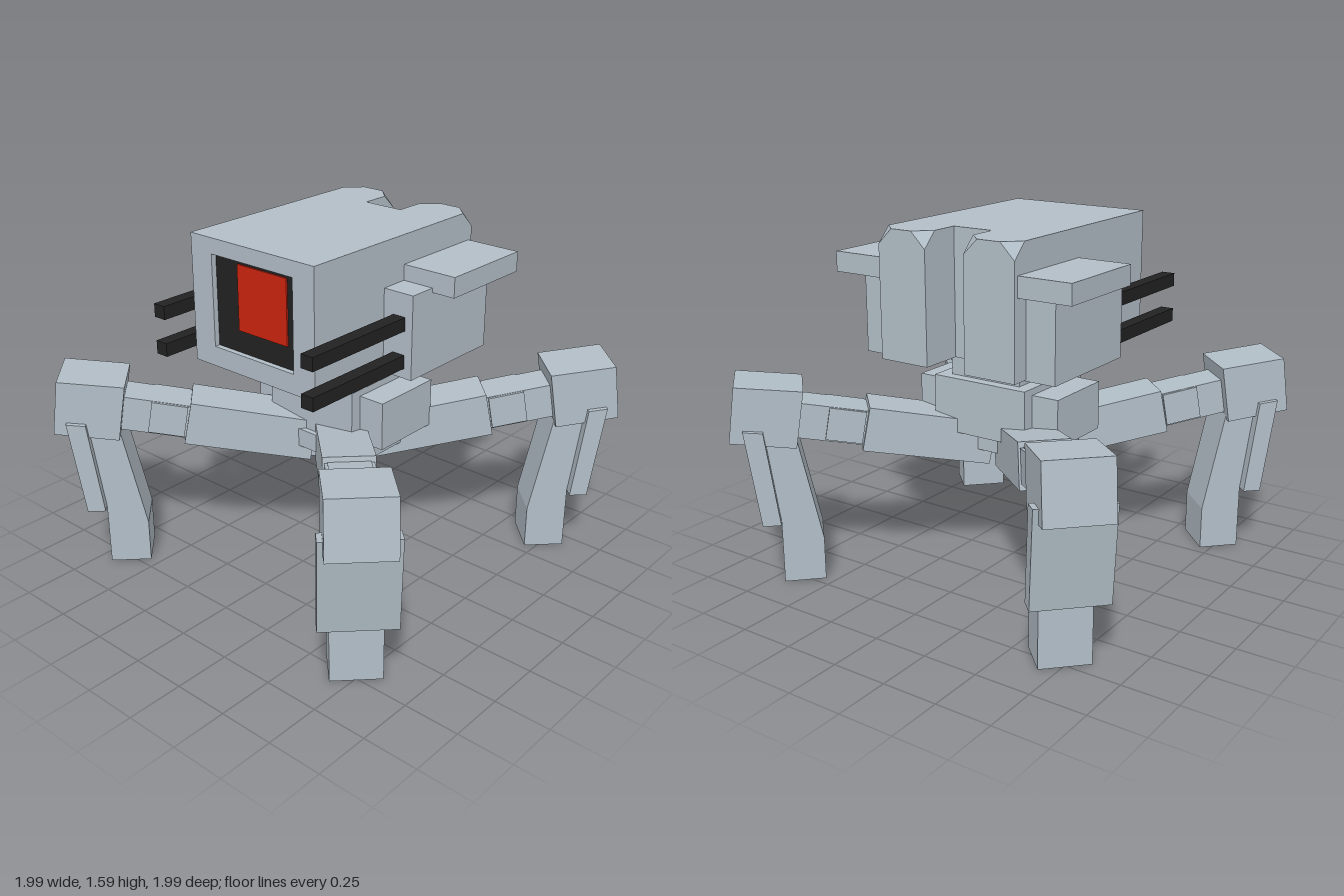
import * as THREE from 'three';
import { ConvexGeometry } from 'three/addons/geometries/ConvexGeometry.js';

const mat = (name, color) => {
  const m = new THREE.MeshStandardMaterial({ color });
  m.name = name;
  return m;
};

export function createModel() {
  const armour = mat('pale grey armour', 0xb2bec7);
  const black = mat('black', 0x222222);
  const red = mat('red', 0xcc240f);
  const root = new THREE.Group();
  root.name = 'walker';

  const add = (parent, name, geometry, material = armour) => {
    const mesh = new THREE.Mesh(geometry, material);
    mesh.name = name;
    parent.add(mesh);
    return mesh;
  };
  // Box given by its limits on each axis
  const box = (parent, name, [x0, x1], [y0, y1], [z0, z1], material) => {
    const g = new THREE.BoxGeometry(x1 - x0, y1 - y0, z1 - z0);
    g.translate((x0 + x1) / 2, (y0 + y1) / 2, (z0 + z1) / 2);
    return add(parent, name, g, material);
  };
  const shapeOf = (pts) => new THREE.Shape(pts.map(([x, y]) => new THREE.Vector2(x, y)));
  // Side profile extruded to a centred width
  const slab = (parent, name, pts, halfWidth) => {
    const g = new THREE.ExtrudeGeometry(shapeOf(pts), { depth: halfWidth * 2, bevelEnabled: false });
    g.translate(0, 0, -halfWidth);
    return add(parent, name, g);
  };

  // Pelvis and neck
  const pelvis = new THREE.Group();
  pelvis.name = 'pelvis';
  root.add(pelvis);
  box(pelvis, 'basePlate', [-0.275, 0.275], [0.575, 0.66], [-0.21, 0.21]);
  box(pelvis, 'pelvisBlock', [-0.24, 0.24], [0.66, 0.91], [-0.275, 0.185]);
  box(pelvis, 'hipBlock', [-0.37, 0.365], [0.66, 0.88], [-0.215, 0.13]);
  box(pelvis, 'neck', [-0.18, 0.18], [0.91, 1.02], [-0.225, 0.14]);

  // Head with a recessed screen
  const head = new THREE.Group();
  head.name = 'head';
  root.add(head);
  box(head, 'headBlock', [-0.35, 0.34], [1.02, 1.59], [-0.31, 0.5]);
  const frame = shapeOf([[-0.35, 1.02], [0.34, 1.02], [0.34, 1.59], [-0.35, 1.59]]);
  frame.holes.push(new THREE.Path(
    [[-0.23, 1.11], [-0.23, 1.52], [0.225, 1.52], [0.225, 1.11]].map(([x, y]) => new THREE.Vector2(x, y))));
  const frameGeometry = new THREE.ExtrudeGeometry(frame, { depth: 0.03, bevelEnabled: false });
  frameGeometry.translate(0, 0, 0.5);
  add(head, 'screenFrame', frameGeometry);
  box(head, 'screen', [-0.23, 0.225], [1.11, 1.52], [0.499, 0.505], black);
  box(head, 'eye', [-0.1, 0.175], [1.21, 1.5], [0.504, 0.512], red);

  // Rear pods with their two upper back corners cut off
  for (const [x0, x1] of [[-0.35, -0.1], [0.095, 0.34]]) {
    const c = 0.07, top = 1.59, low = 1.02, back = -0.51, front = -0.31;
    const pts = [];
    for (const [x, inward] of [[x0, c], [x1, -c]]) {
      pts.push([x, low, front], [x, top, front], [x, low, back],
        [x, top - c, back], [x, top, back + c], [x + inward, top, back]);
    }
    add(head, 'rearPod', new ConvexGeometry(pts.map((p) => new THREE.Vector3(...p))));
  }

  // Gun pods on both sides
  for (const s of [-1, 1]) {
    const gun = new THREE.Group();
    gun.name = s > 0 ? 'leftGunPod' : 'rightGunPod';
    root.add(gun);
    const span = (a, b) => (s > 0 ? [a, b] : [-b, -a]);
    box(gun, 'gunHousing', span(0.34, 0.49), [1.015, 1.39], [-0.43, 0.1]);
    box(gun, 'shoulderPlate', span(0.34, 0.6), [1.37, 1.46], [-0.49, 0.03 - 0.06]);
    for (const y of [1.09, 1.258]) {
      box(gun, 'barrel', span(0.39, 0.452), [y - 0.03, y + 0.03], [0.1, 0.665], black);
    }
  }

  // Four identical legs on the diagonals
  for (let i = 0; i < 4; i++) {
    const leg = new THREE.Group();
    leg.name = 'leg';
    leg.rotation.y = Math.PI / 4 + i * Math.PI / 2;
    root.add(leg);
    slab(leg, 'thigh', [[0.134, 0.5], [0.7, 0.6], [0.662, 0.797], [0.1, 0.69]], 0.111);
    slab(leg, 'foreArm', [[0.64, 0.61], [1.02, 0.68], [0.99, 0.835], [0.61, 0.765]], 0.09);
    slab(leg, 'armPanel', [[0.7, 0.63], [0.86, 0.66], [0.835, 0.805], [0.675, 0.775]], 0.103);
    slab(leg, 'knee', [[0.985, 0.64], [1.27, 0.68], [1.237, 0.93], [0.945, 0.895]], 0.139);
    slab(leg, 'foot', [[0.887, 0], [1.07, 0], [1.07, 0.3], [1.13, 0.7], [0.99, 0.7], [0.887, 0.2]], 0.11);
    slab(leg, 'shinGuard', [[1.07, 0.295], [1.15, 0.295], [1.21, 0.735], [1.125, 0.725]], 0.162);
  }

  return root;
}
